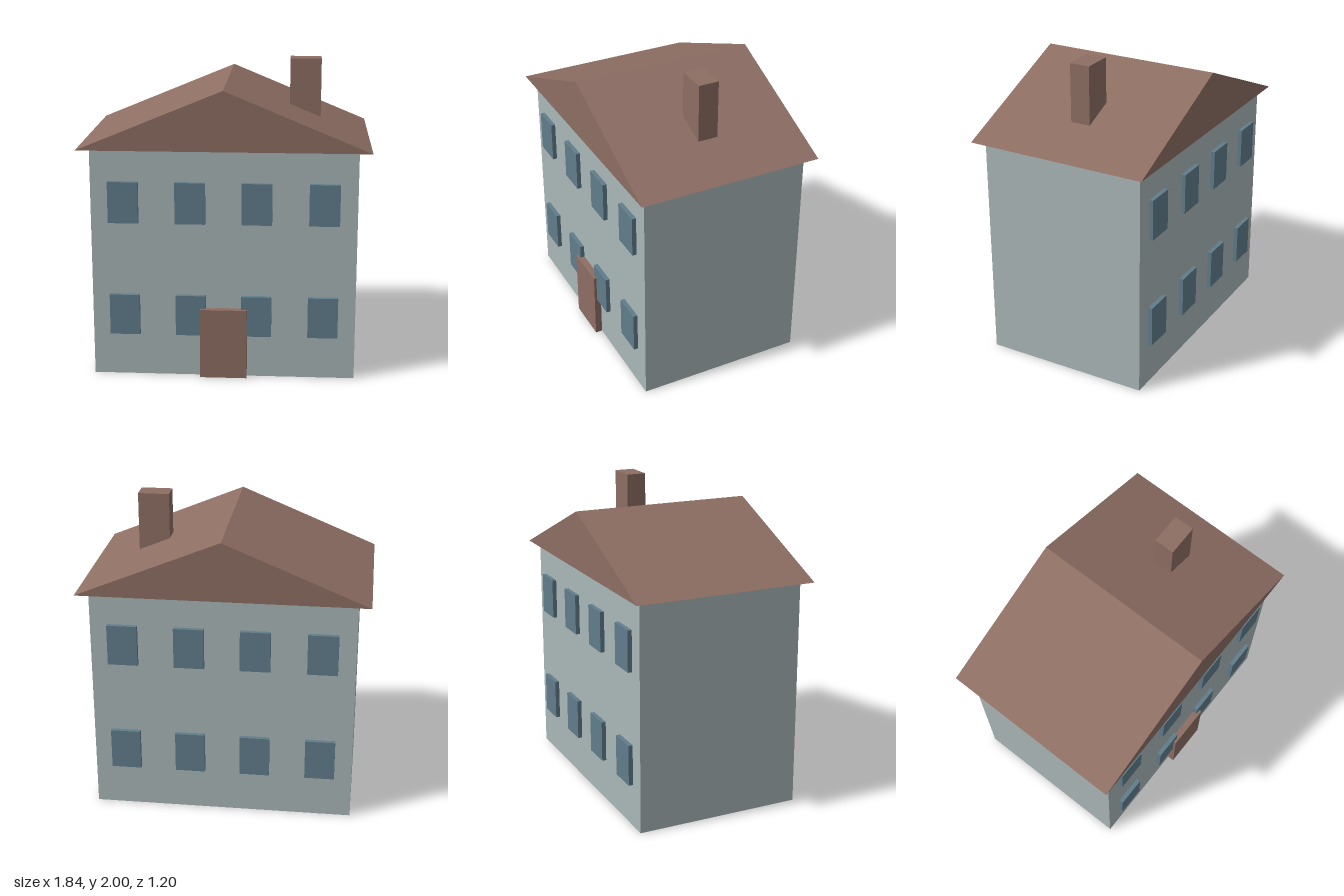
import * as THREE from 'three';

export function createModel() {
  const house = new THREE.Group();
  house.name = 'house';

  const wallPaint = new THREE.MeshStandardMaterial({ name: 'wall grey', color: 0xaab7b8 });
  const brown = new THREE.MeshStandardMaterial({ name: 'brown', color: 0x8d6e63 });
  const glass = new THREE.MeshStandardMaterial({ name: 'window blue', color: 0x607d8b });

  // Box given by its extents on each axis
  function box(name, material, [x0, x1], [y0, y1], [z0, z1]) {
    const mesh = new THREE.Mesh(new THREE.BoxGeometry(x1 - x0, y1 - y0, z1 - z0), material);
    mesh.position.set((x0 + x1) / 2, (y0 + y1) / 2, (z0 + z1) / 2);
    mesh.name = name;
    house.add(mesh);
  }

  box('walls', wallPaint, [-0.84, 0.84], [0, 1.49], [-0.548, 0.548]);
  box('door', brown, [-0.15, 0.15], [0, 0.46], [0.54, 0.593]);
  box('chimney', brown, [0.402, 0.603], [1.58, 2], [-0.066, 0.066]);

  // Solid gable roof with its ridge along z
  const gable = new THREE.Shape();
  gable.moveTo(-0.92, 1.49);
  gable.lineTo(0.92, 1.49);
  gable.lineTo(0, 1.87);
  gable.closePath();
  const roofGeometry = new THREE.ExtrudeGeometry(gable, { depth: 1.2, bevelEnabled: false });
  roofGeometry.translate(0, 0, -0.6);
  const roof = new THREE.Mesh(roofGeometry, brown);
  roof.name = 'roof';
  house.add(roof);

  // Two rows of four raised windows on the front and back
  for (const side of ['front', 'back']) {
    const z = side === 'front' ? [0.54, 0.576] : [-0.576, -0.54];
    for (const y of [0.28, 1.02]) {
      for (const x of [-0.633, -0.21, 0.21, 0.633]) {
        box(side + 'Window', glass, [x - 0.096, x + 0.096], [y, y + 0.266], z);
      }
    }
  }

  return house;
}
